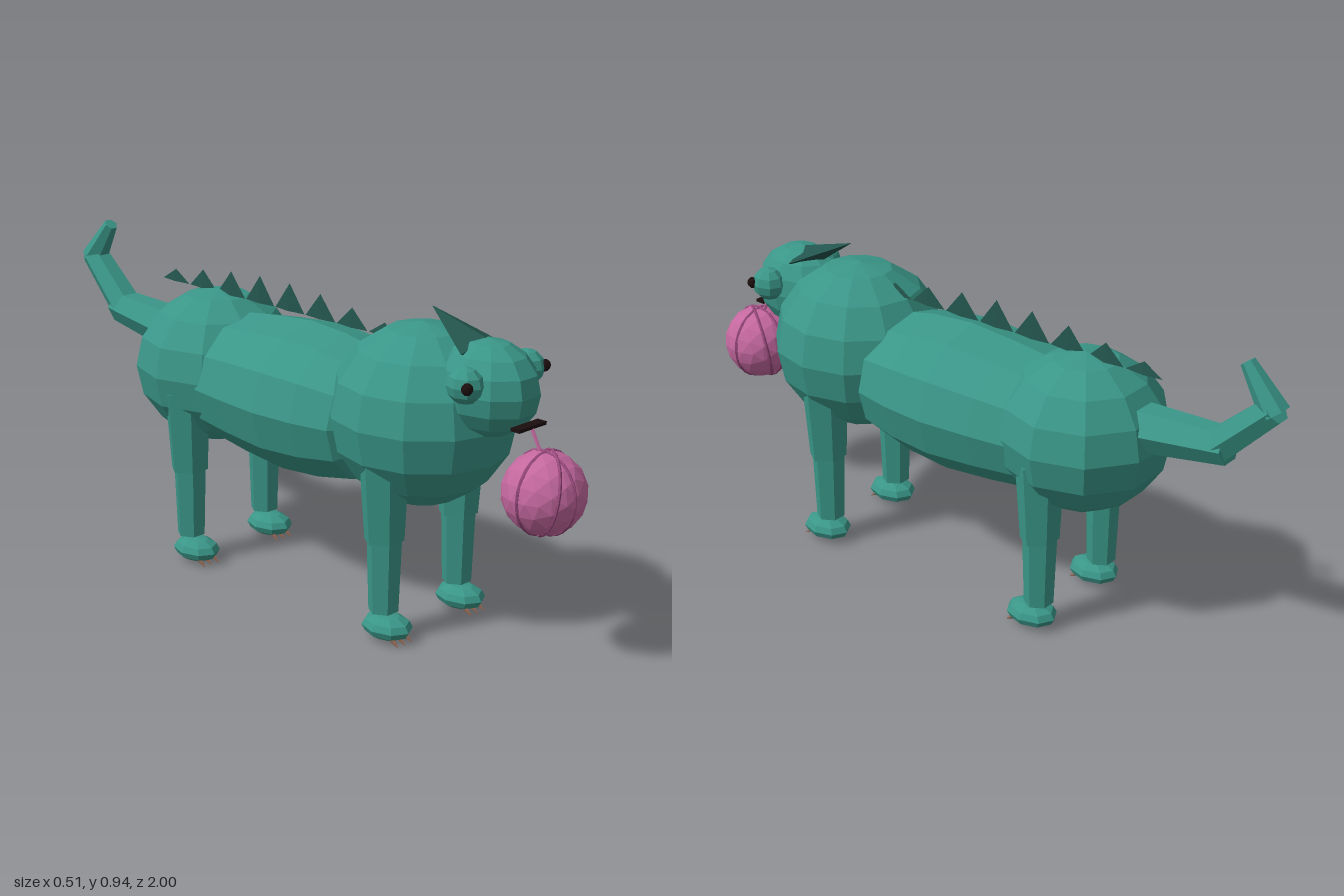
import * as THREE from 'three';

const mat = (name, color) => {
  const m = new THREE.MeshStandardMaterial({ color, flatShading: true });
  m.name = name;
  return m;
};

export function createModel() {
  const skin = mat('teal skin', 0x3a9688);
  const crest = mat('dark teal crest', 0x22544c);
  const black = mat('black', 0x1c0e0e);
  const pink = mat('pink yarn', 0xc4689f);
  const strand = mat('dark pink strand', 0x96487a);
  const claw = mat('brown claw', 0x8f6552);

  const model = new THREE.Group();
  model.name = 'lizard';

  const add = (name, geometry, material, x = 0, y = 0, z = 0, parent = model) => {
    const mesh = new THREE.Mesh(geometry, material);
    mesh.name = name;
    mesh.position.set(x, y, z);
    parent.add(mesh);
    return mesh;
  };
  const ball = (name, material, pos, size, w = 10, h = 8, parent = model) => {
    const mesh = add(name, new THREE.SphereGeometry(1, w, h), material, ...pos, parent);
    mesh.scale.set(...size);
    return mesh;
  };
  // tapered tube between two points, with one corner turned to the side
  const limb = (name, material, from, to, r1, r2, sides = 6, squash = 1, parent = model) => {
    const a = new THREE.Vector3(...from), b = new THREE.Vector3(...to);
    const dir = b.clone().sub(a);
    const g = new THREE.CylinderGeometry(r2, r1, dir.length(), sides);
    g.rotateY(Math.PI / 2);
    g.scale(1, 1, squash);
    const mesh = add(name, g, material, 0, 0, 0, parent);
    mesh.position.copy(a).add(b).multiplyScalar(0.5);
    mesh.quaternion.setFromUnitVectors(new THREE.Vector3(0, 1, 0), dir.normalize());
    return mesh;
  };

  // Body
  ball('chest', skin, [0, 0.62, 0.46], [0.255, 0.255, 0.265], 12, 8);
  ball('hips', skin, [0, 0.585, -0.37], [0.248, 0.232, 0.25], 10, 8);
  const profile = [[0, -0.36], [0.14, -0.35], [0.205, -0.26], [0.222, -0.13], [0.236, 0.03],
    [0.225, 0.17], [0.2, 0.29], [0.14, 0.34], [0, 0.35]].map(p => new THREE.Vector2(...p));
  const trunk = new THREE.LatheGeometry(profile, 12);
  trunk.rotateX(Math.PI / 2);
  trunk.scale(1, 0.945, 1);
  add('trunk', trunk, skin, 0, 0.57, 0);

  // Head
  ball('head', skin, [0, 0.742, 0.69], [0.122, 0.132, 0.152], 10, 8);
  limb('headCrest', crest, [0, 0.84, 0.665], [0, 0.922, 0.49], 0.085, 0.002, 4, 0.4);
  add('mouth', new THREE.BoxGeometry(0.11, 0.009, 0.03), black, 0, 0.666, 0.828);
  for (const s of [-1, 1]) {
    ball('eyeSocket', skin, [s * 0.123, 0.777, 0.715], [0.047, 0.05, 0.053], 8, 6);
    ball('pupil', black, [s * 0.156, 0.781, 0.75], [0.016, 0.017, 0.016], 8, 6);
  }

  // Back spikes, tallest in the middle
  for (let i = 0; i < 8; i++) {
    const h = 0.037 + 0.045 * Math.sin(Math.PI * i / 7);
    const g = new THREE.ConeGeometry(0.06, h, 4);
    g.scale(0.12, 1, 1);
    add('backSpike', g, crest, 0, 0.805 + h / 2, 0.315 - i * 0.125);
  }

  // Tail
  limb('tailBase', skin, [0, 0.645, -0.52], [0, 0.677, -0.835], 0.073, 0.052);
  limb('tailMiddle', skin, [0, 0.675, -0.805], [0, 0.825, -0.962], 0.052, 0.042);
  limb('tailTip', skin, [0, 0.81, -0.962], [0, 0.932, -0.872], 0.042, 0.021);

  // Legs
  for (const [name, z, footZ] of [['frontLeg', 0.467, 0.482], ['backLeg', -0.337, -0.313]]) {
    for (const s of [-1, 1]) {
      const leg = new THREE.Group();
      leg.name = name;
      model.add(leg);
      const x = s * 0.152;
      limb('upperLeg', skin, [x + s * 0.005, 0.54, z], [x, 0.292, z], 0.075, 0.06, 6, 0.9, leg);
      limb('lowerLeg', skin, [x, 0.32, z], [x, 0.083, z], 0.051, 0.043, 6, 0.98, leg);
      ball('foot', skin, [x, 0.041, footZ], [0.061, 0.036, 0.08], 8, 6, leg);
      for (const t of [-1, 0, 1]) {
        limb('claw', claw, [x + t * 0.025, 0.022, footZ + 0.04],
          [x + t * 0.028, 0.004, footZ + 0.068], 0.009, 0.001, 5, 1, leg);
      }
    }
  }

  // Yarn ball hanging from the mouth
  const yarn = new THREE.Group();
  yarn.name = 'yarnBall';
  yarn.position.set(0, 0.5, 0.888);
  model.add(yarn);
  add('ball', new THREE.IcosahedronGeometry(0.114, 2), pink, 0, 0, 0, yarn);
  for (const [rx, ry, rz] of [[0, 0, 0], [0, Math.PI / 2 - 0.12, 0.08], [0.3, 0.95, -0.55]]) {
    const ring = add('strand', new THREE.TorusGeometry(0.112, 0.005, 5, 24), strand, 0, 0, 0, yarn);
    ring.rotation.set(rx, ry, rz);
  }
  limb('thread', pink, [0, 0.664, 0.838], [0, 0.6, 0.873], 0.005, 0.005, 5);

  return model;
}
